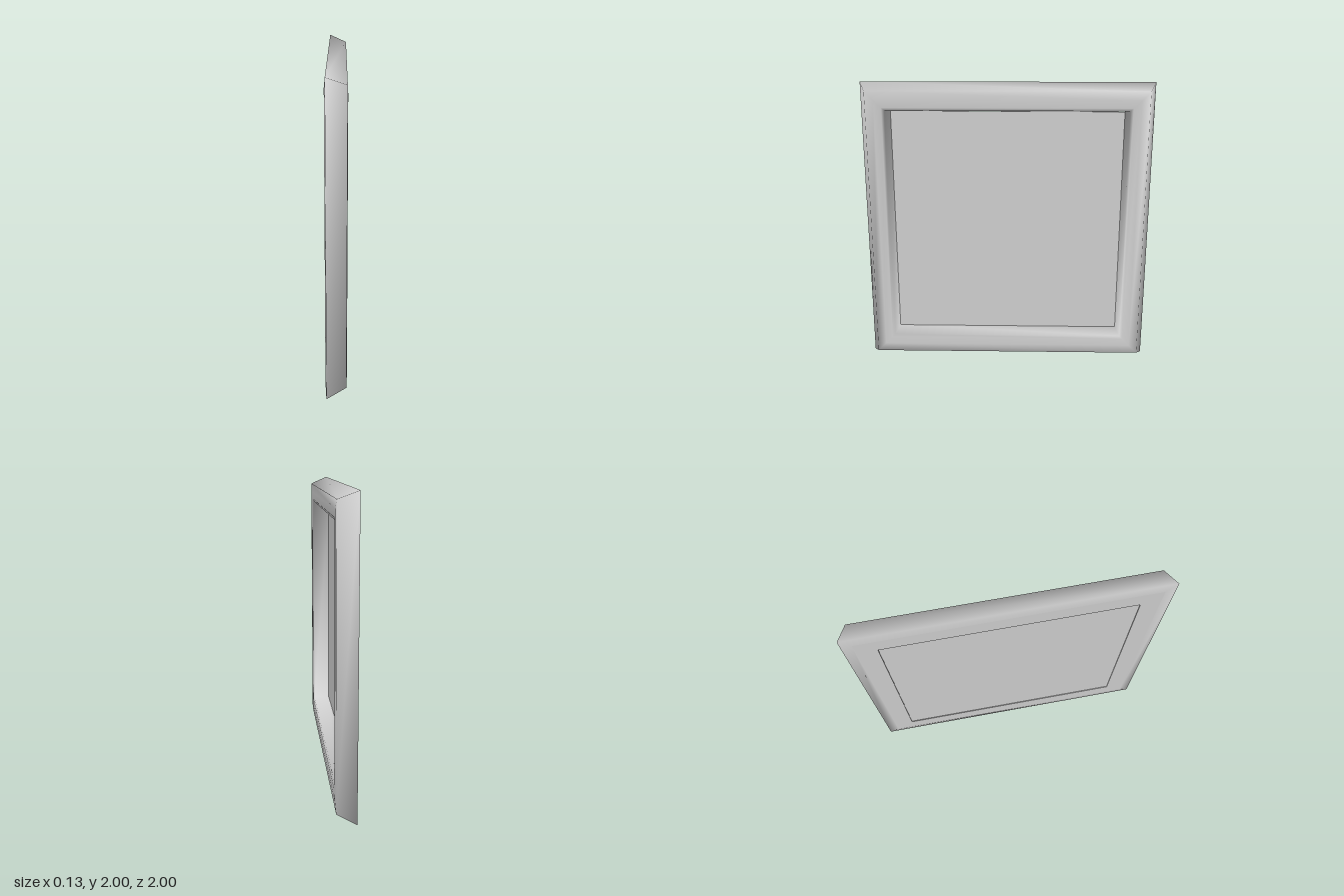
import * as THREE from 'three';

const material = new THREE.MeshStandardMaterial({ color: 0xcccccc });

// Corners of the square as (y, z) signs, clockwise seen from +x
const CORNERS = [[1, 1], [1, -1], [-1, -1], [-1, 1]];

// Sweeps a profile of [inset from outer edge, x] round the square with mitred corners
function mitredLoop(name, profile) {
  const positions = [], index = [], n = profile.length;
  for (const [sy, sz] of CORNERS) {
    for (const [inset, x] of profile) positions.push(x, 1 + sy * (1 - inset), sz * (1 - inset));
  }
  for (let c = 0; c < 4; c++) {
    for (let k = 0; k < n - 1; k++) {
      const a = c * n + k, d = ((c + 1) % 4) * n + k;
      index.push(a, a + 1, d + 1, a, d + 1, d);
    }
  }
  const geometry = new THREE.BufferGeometry();
  geometry.setAttribute('position', new THREE.Float32BufferAttribute(positions, 3));
  geometry.setIndex(index);
  geometry.computeVertexNormals();
  const mesh = new THREE.Mesh(geometry, material);
  mesh.name = name;
  return mesh;
}

export function createModel() {
  const group = new THREE.Group();
  group.name = 'pictureFrame';

  // Moulding: back chamfer, sloped outer side, rounded front, steep inner side
  group.add(mitredLoop('frameMoulding', [
    [0.07, -0.067], [0, -0.06], [0.05, 0.064], [0.11, 0.067], [0.16, 0.065], [0.18, 0.057], [0.2, -0.067],
  ]));

  // Flat rear of the frame
  group.add(mitredLoop('frameBack', [[0.2, -0.067], [0.07, -0.067]]));

  // Thin picture panel, set just inside the back
  const panel = new THREE.Mesh(new THREE.BoxGeometry(0.004, 1.6, 1.6), material);
  panel.name = 'picturePanel';
  panel.position.set(-0.06, 1, 0);
  group.add(panel);

  return group;
}
